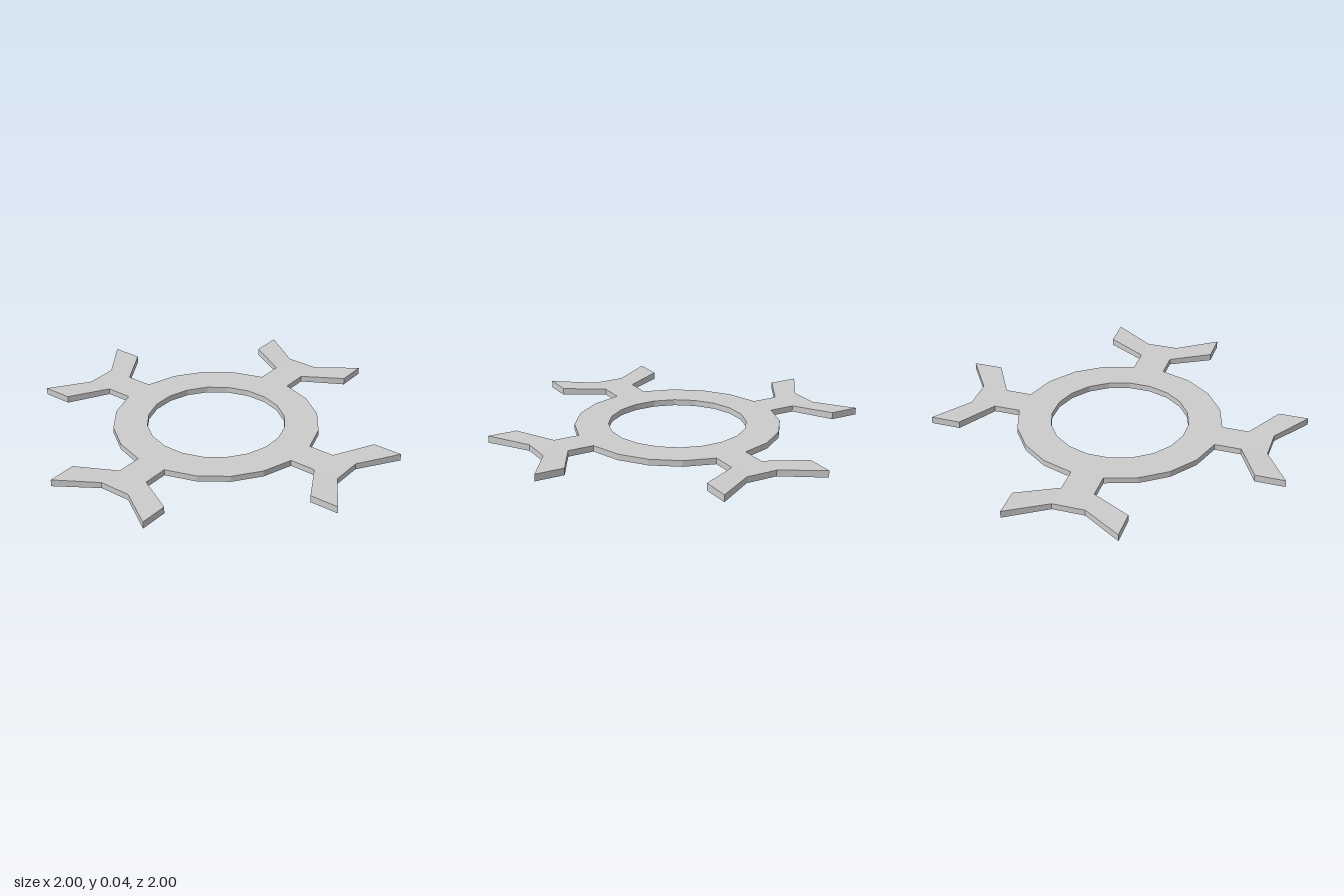
import * as THREE from 'three';

const H = 0.034, TIP_H = 0.039;      // plate thickness, thickness at the prong tips
const R_OUT = 0.572, R_IN = 0.384, SIDES = 20;
const HALF = R_OUT * Math.sin(Math.PI / SIDES);   // half width of an arm
const ROOT = R_OUT * Math.cos(Math.PI / SIDES);   // where an arm leaves the ring

// Section corners: inner bottom, outer bottom, outer top, inner top
const section = (inner, outer, h) => [
  [inner[0], 0, inner[1]], [outer[0], 0, outer[1]],
  [outer[0], h, outer[1]], [inner[0], h, inner[1]],
];

// Joins four-cornered sections; skip(i, k) leaves out faces where parts meet
function loft(sections, caps, skip) {
  const pos = [];
  const quad = (a, b, c, d) => pos.push(...a, ...b, ...c, ...a, ...c, ...d);
  for (let i = 0; i < sections.length - 1; i++) {
    const s = sections[i], t = sections[i + 1];
    for (let k = 0; k < 4; k++) {
      const n = (k + 1) % 4;
      if (!skip(i, k)) quad(s[k], t[k], t[n], s[n]);
    }
  }
  if (caps) {
    quad(...sections[0]);
    quad(...[...sections[sections.length - 1]].reverse());
  }
  const g = new THREE.BufferGeometry();
  g.setAttribute('position', new THREE.Float32BufferAttribute(pos, 3));
  g.computeVertexNormals();
  return g;
}

export function createModel() {
  const model = new THREE.Group();
  model.name = 'forkedRing';
  const material = new THREE.MeshStandardMaterial({ color: 0xcccccc, flatShading: true });
  const add = (parent, name, geometry) => {
    const mesh = new THREE.Mesh(geometry, material);
    mesh.name = name;
    parent.add(mesh);
  };

  // Faceted ring, open on the outside where the four arms join
  const ring = [];
  for (let i = 0; i <= SIDES; i++) {
    const a = ((i - 0.5) * 2 * Math.PI) / SIDES;
    const at = (r) => [r * Math.sin(a), r * Math.cos(a)];
    ring.push(section(at(R_IN), at(R_OUT), H));
  }
  add(model, 'ring', loft(ring, false, (i, k) => k === 1 && i % 5 === 0));

  // Neck between ring and fork
  const neck = loft([-HALF, HALF].map((x) => section([x, ROOT], [x, 0.712], H)),
    true, (i, k) => k % 2 === 1);

  // Two-pronged fork, slightly thicker towards its tips
  const fork = loft([
    section([-0.31, 0.835], [-0.31, 1], TIP_H),
    section([-HALF, 0.712], [-HALF, 0.855], H),
    section([HALF, 0.712], [HALF, 0.855], H),
    section([0.31, 0.835], [0.31, 1], TIP_H),
  ], true, (i, k) => i === 1 && k === 3);

  ['front', 'left', 'back', 'right'].forEach((side, i) => {
    const arm = new THREE.Group();
    arm.name = side + 'Arm';
    arm.rotation.y = (i * Math.PI) / 2;
    add(arm, side + 'Neck', neck);
    add(arm, side + 'Fork', fork);
    model.add(arm);
  });
  return model;
}
